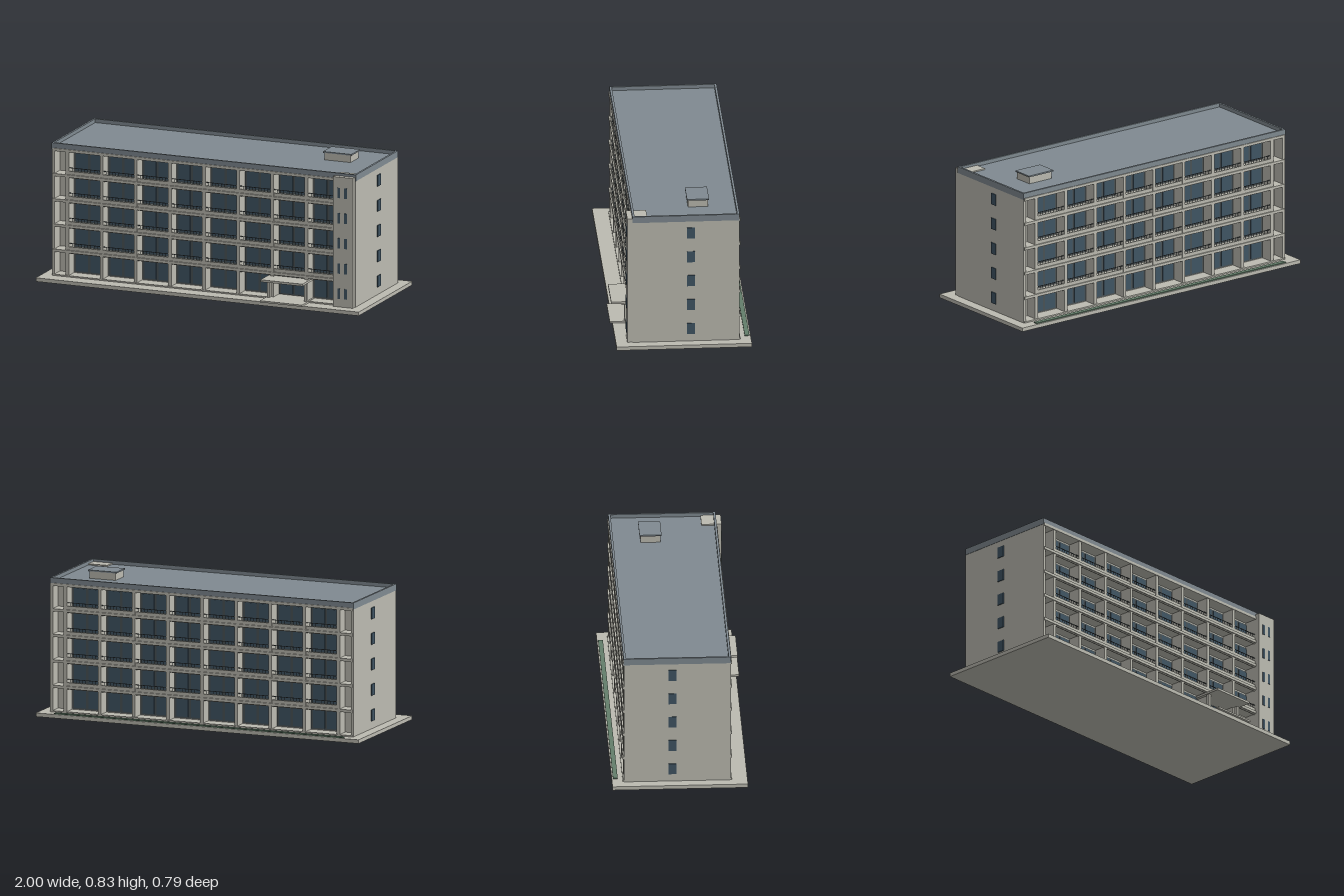
import * as THREE from 'three';
import { mergeGeometries } from 'three/addons/utils/BufferGeometryUtils.js';

const material = (name, color) => {
  const m = new THREE.MeshStandardMaterial({ color });
  m.name = name;
  return m;
};

export function createModel() {
  const concrete = material('concrete', 0xbcbbb1);
  const roofGrey = material('roofGrey', 0x808a91);
  const glass = material('glass', 0x405564);
  const frameGrey = material('frameGrey', 0x4a5357);
  const green = material('hedgeGreen', 0x647f6b);

  const model = new THREE.Group();
  model.name = 'apartmentBlock';

  // A box given by its limits along x, y and z
  const box = (x0, x1, y0, y1, z0, z1) =>
    new THREE.BoxGeometry(x1 - x0, y1 - y0, z1 - z0)
      .translate((x0 + x1) / 2, (y0 + y1) / 2, (z0 + z1) / 2);
  const add = (name, mat, boxes) => {
    const mesh = new THREE.Mesh(mergeGeometries(boxes), mat);
    mesh.name = name;
    model.add(mesh);
  };

  const ground = 0.022, pitch = 0.148, floors = 5, bay = 0.2115;
  const front = 0.285, back = -0.325, depth = 0.075;
  const top = ground + pitch * floors;
  const level = (i) => ground + pitch * i;

  // Plinth, entrance step and planting strip
  add('plinth', concrete, [box(-1, 1, 0, ground, -0.392, 0.38)]);
  add('entranceStep', concrete, [box(0.395, 0.655, ground, 0.032, 0.21, 0.395)]);
  add('hedge', green, [box(-0.9, 0.89, ground, 0.028, -0.385, -0.358)]);

  // Core and end walls
  add('core', concrete, [box(-0.93, 0.93, ground, top, back + depth, front - depth)]);
  add('endWalls', concrete, [-1, 1].map((s) =>
    box(s * 0.932 - 0.008, s * 0.932 + 0.008, ground, top, back, front)));

  // Balcony slabs, columns, upstands, railings and windows on both long sides
  for (const [side, face, s] of [['front', front, 1], ['back', back, -1]]) {
    // Box measured inward from the facade plane
    const inset = (x0, x1, y0, y1, d0, d1) => {
      const a = face - s * d0, b = face - s * d1;
      return box(x0, x1, y0, y1, Math.min(a, b), Math.max(a, b));
    };
    const slabs = [], columns = [], upstands = [], rails = [], frames = [], panes = [];

    for (let k = -4; k <= 4; k++)
      columns.push(inset(k * bay - 0.01, k * bay + 0.01, ground, top, 0, depth));

    for (let i = 0; i <= floors; i++) {
      const y = level(i);
      slabs.push(inset(-0.936, 0.936, Math.max(y - 0.008, 0.01), y + 0.008, -0.006, depth));
      if (i === floors) continue;

      for (let k = -4; k < 4; k++) {
        const x0 = k * bay + 0.01, x1 = (k + 1) * bay - 0.01, mid = (x0 + x1) / 2;
        frames.push(inset(x0 + 0.003, x1 - 0.003, y + 0.012, y + 0.13, depth - 0.004, depth));
        for (const side2 of [-1, 1]) {
          const c = mid + side2 * 0.044;
          panes.push(inset(c - 0.036, c + 0.036, y + 0.02, y + 0.122, depth - 0.007, depth - 0.003));
        }
        if (i === 0) continue;
        upstands.push(inset(x0, x1, y - 0.012, y + 0.028, 0.002, 0.01));
        rails.push(inset(x0, x1, y + 0.046, y + 0.049, 0.004, 0.008));
        for (let j = 1; j < 10; j++) {
          const x = x0 + (x1 - x0) * j / 10;
          rails.push(inset(x - 0.001, x + 0.001, y + 0.028, y + 0.046, 0.005, 0.007));
        }
      }
    }
    add(side + 'Slabs', concrete, slabs);
    add(side + 'Columns', concrete, columns);
    add(side + 'BalconyUpstands', concrete, upstands);
    add(side + 'Railings', frameGrey, rails);
    add(side + 'WindowFrames', frameGrey, frames);
    add(side + 'WindowPanes', glass, panes);
  }

  // Stair tower, with narrow windows, and the windows in the end walls
  add('stairTower', concrete, [box(0.812, 0.936, ground, 0.785, 0.2, 0.315)]);
  const towerWindows = [], endWindows = [];
  for (let i = 0; i < floors; i++) {
    const y = level(i) + 0.078;
    for (const x of [0.85, 0.892])
      towerWindows.push(box(x - 0.008, x + 0.008, y - 0.03, y + 0.03, 0.313, 0.318));
    for (const s of [-1, 1])
      endWindows.push(box(s * 0.941 - 0.004, s * 0.941 + 0.004, y - 0.033, y + 0.033, -0.07, -0.026));
  }
  add('towerWindows', glass, towerWindows);
  add('endWindows', glass, endWindows);

  // Flat roof with parapet
  add('roof', roofGrey, [box(-0.938, 0.938, top, 0.778, back, front)]);
  add('parapet', roofGrey, [
    box(-0.942, 0.942, top, 0.8, front - 0.012, front + 0.001),
    box(-0.942, 0.942, top, 0.8, back - 0.001, back + 0.012),
    box(-0.942, -0.93, top, 0.8, back, front),
    box(0.93, 0.942, top, 0.8, back, front),
  ]);

  // Roof hatch
  add('roofHatch', concrete, [box(0.608, 0.768, 0.775, 0.82, -0.156, -0.043)]);
  add('roofHatchCap', roofGrey, [box(0.6, 0.776, 0.82, 0.828, -0.163, -0.037)]);

  // Entrance canopy on posts
  add('canopy', concrete, [box(0.395, 0.655, 0.14, 0.153, 0.21, 0.387)]);
  add('canopyPosts', concrete, [0.41, 0.64].map((x) =>
    box(x - 0.008, x + 0.008, 0.03, 0.141, 0.29, 0.312)));

  return model;
}
